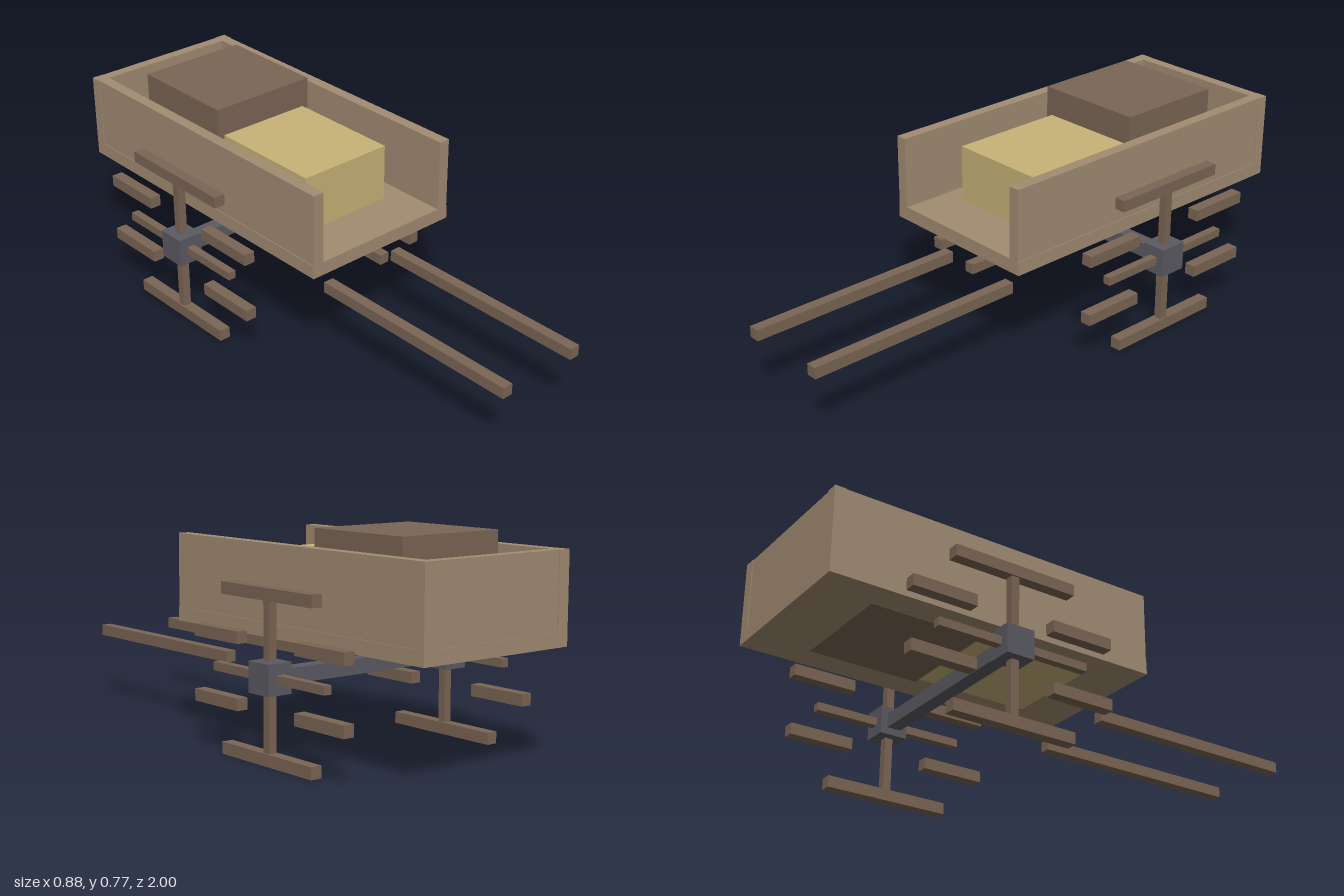
import * as THREE from 'three';

const mat = (name, color) => {
  const m = new THREE.MeshStandardMaterial({ color });
  m.name = name;
  return m;
};

export function createModel() {
  const paleWood = mat('pale wood', 0xa28c72);
  const darkWood = mat('dark wood', 0x7b6655);
  const straw = mat('straw', 0xc8b478);
  const iron = mat('iron', 0x5c5b62);

  const cart = new THREE.Group();
  cart.name = 'handCart';

  // Box given by its extents along each axis
  const box = (parent, name, material, [x0, x1], [y0, y1], [z0, z1]) => {
    const mesh = new THREE.Mesh(new THREE.BoxGeometry(x1 - x0, y1 - y0, z1 - z0), material);
    mesh.position.set((x0 + x1) / 2, (y0 + y1) / 2, (z0 + z1) / 2);
    mesh.name = name;
    parent.add(mesh);
  };
  // Extent from a centre and a size
  const span = (c, size) => [c - size / 2, c + size / 2];
  // Extent mirrored to the given side
  const side = (s, a, b) => (s > 0 ? [a, b] : [-b, -a]);

  // Open-fronted tray
  box(cart, 'trayFloor', paleWood, [-0.315, 0.315], [0.4, 0.45], [-1, 0.26]);
  box(cart, 'backBoard', paleWood, [-0.27, 0.27], [0.45, 0.713], [-0.997, -0.957]);

  // Cargo, with undersides just showing through the floor
  box(cart, 'crate', darkWood, [-0.21, 0.21], [0.399, 0.766], [-0.79, -0.37]);
  box(cart, 'strawBale', straw, [-0.184, 0.184], [0.399, 0.66], [-0.37, 0.073]);

  // Axle
  const axleY = 0.2925, axleZ = -0.37;
  box(cart, 'axle', iron, [-0.36, 0.36], span(axleY, 0.053), span(axleZ, 0.053));

  for (const s of [1, -1]) {
    const label = s > 0 ? 'left' : 'right';
    box(cart, label + 'SideBoard', paleWood, side(s, 0.27, 0.312), [0.45, 0.713], [-0.957, 0.26]);
    box(cart, label + 'CornerPost', paleWood, side(s, 0.27, 0.315), [0.45, 0.713], [-1, -0.957]);
    box(cart, label + 'PullShaft', darkWood, side(s, 0.14, 0.18), [0.246, 0.287], [0.16, 1]);

    // Wheel: hub, crossed spokes and six straight rim pieces
    const wheel = new THREE.Group();
    wheel.name = label + 'Wheel';
    wheel.position.set(s * 0.395, axleY, axleZ);
    cart.add(wheel);
    box(wheel, 'hub', iron, span(0, 0.094), span(0, 0.105), span(0, 0.105));
    box(wheel, 'verticalSpoke', darkWood, span(0, 0.03), span(0, 0.54), span(0, 0.03));
    box(wheel, 'levelSpoke', darkWood, span(0, 0.03), span(0, 0.03), span(0, 0.578));
    for (const v of [1, -1]) {
      box(wheel, 'rimEnd', darkWood, span(0, 0.042), span(v * 0.2715, 0.042), span(0, 0.47));
      for (const w of [1, -1]) {
        box(wheel, 'rimSegment', darkWood, span(0, 0.042), span(v * 0.1125, 0.042), span(w * 0.27, 0.24));
      }
    }
  }
  return cart;
}
